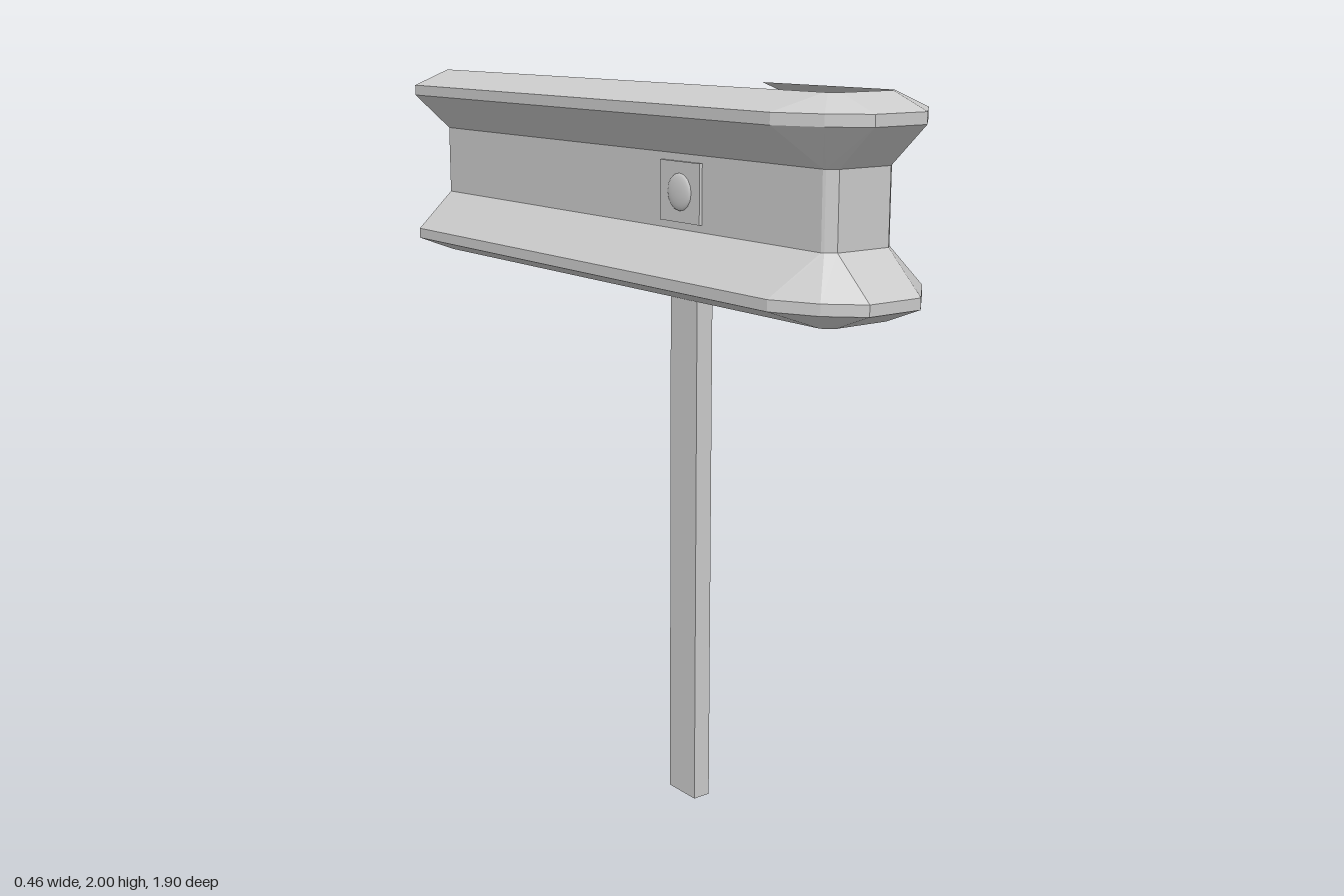
import * as THREE from 'three';

const material = new THREE.MeshStandardMaterial({ color: 0xcccccc, flatShading: true });
const sheetMaterial = new THREE.MeshStandardMaterial({ color: 0xcccccc, flatShading: true, side: THREE.DoubleSide });
const smoothMaterial = new THREE.MeshStandardMaterial({ color: 0xcccccc });

// Rail cross-section: [0 = valley line, 1 = ridge line, height]
const PROFILE = [
  [0, 2.0], [1, 1.955], [1, 1.925], [0, 1.82],
  [0, 1.62], [1, 1.51], [1, 1.48], [0, 1.435],
];

// Plan of the rail: [valley x, valley z, ridge x, ridge z] at each bend
const PLAN = [
  [-0.113, -0.95, -0.23, -0.95],
  [-0.113, 0.805, -0.23, 0.745],
  [-0.109, 0.812, -0.17, 0.87],
  [-0.085, 0.833, -0.085, 0.95],
  [0.085, 0.833, 0.085, 0.95],
  [0.11, 0.81, 0.23, 0.81],
  [0.11, 0.315, 0.23, 0.315],
];

// Sweeps the cross-section through the bends as a thin folded sheet
function railGeometry() {
  const positions = [];
  const indices = [];
  const n = PROFILE.length;
  PLAN.forEach(([vx, vz, rx, rz], i) => {
    PROFILE.forEach(([t, y], j) => {
      positions.push(vx + (rx - vx) * t, y, vz + (rz - vz) * t);
      if (i < PLAN.length - 1 && j < n - 1) {
        const a = i * n + j, b = a + n;
        indices.push(a, a + 1, b, b, a + 1, b + 1);
      }
    });
  });
  const geometry = new THREE.BufferGeometry();
  geometry.setAttribute('position', new THREE.Float32BufferAttribute(positions, 3));
  geometry.setIndex(indices);
  const flat = geometry.toNonIndexed();
  flat.computeVertexNormals();
  return flat;
}

export function createModel() {
  const group = new THREE.Group();
  const add = (name, geometry, mat, x = 0, y = 0, z = 0) => {
    const mesh = new THREE.Mesh(geometry, mat);
    mesh.name = name;
    mesh.position.set(x, y, z);
    group.add(mesh);
    return mesh;
  };

  add('rail', railGeometry(), sheetMaterial);

  // Post standing behind the rail
  add('post', new THREE.BoxGeometry(0.052, 1.82, 0.115), material, -0.08, 0.91, 0.257);

  // Mounting plate through the rail valley, with a shallow domed bolt head
  add('mountingPlate', new THREE.BoxGeometry(0.014, 0.16, 0.17), material, -0.115, 1.72, 0.257);
  const bolt = add('boltHead', new THREE.SphereGeometry(0.05, 16, 6, 0, Math.PI * 2, 0, Math.PI / 2),
    smoothMaterial, -0.122, 1.72, 0.257);
  bolt.scale.y = 0.22;
  bolt.rotation.z = Math.PI / 2;

  return group;
}
